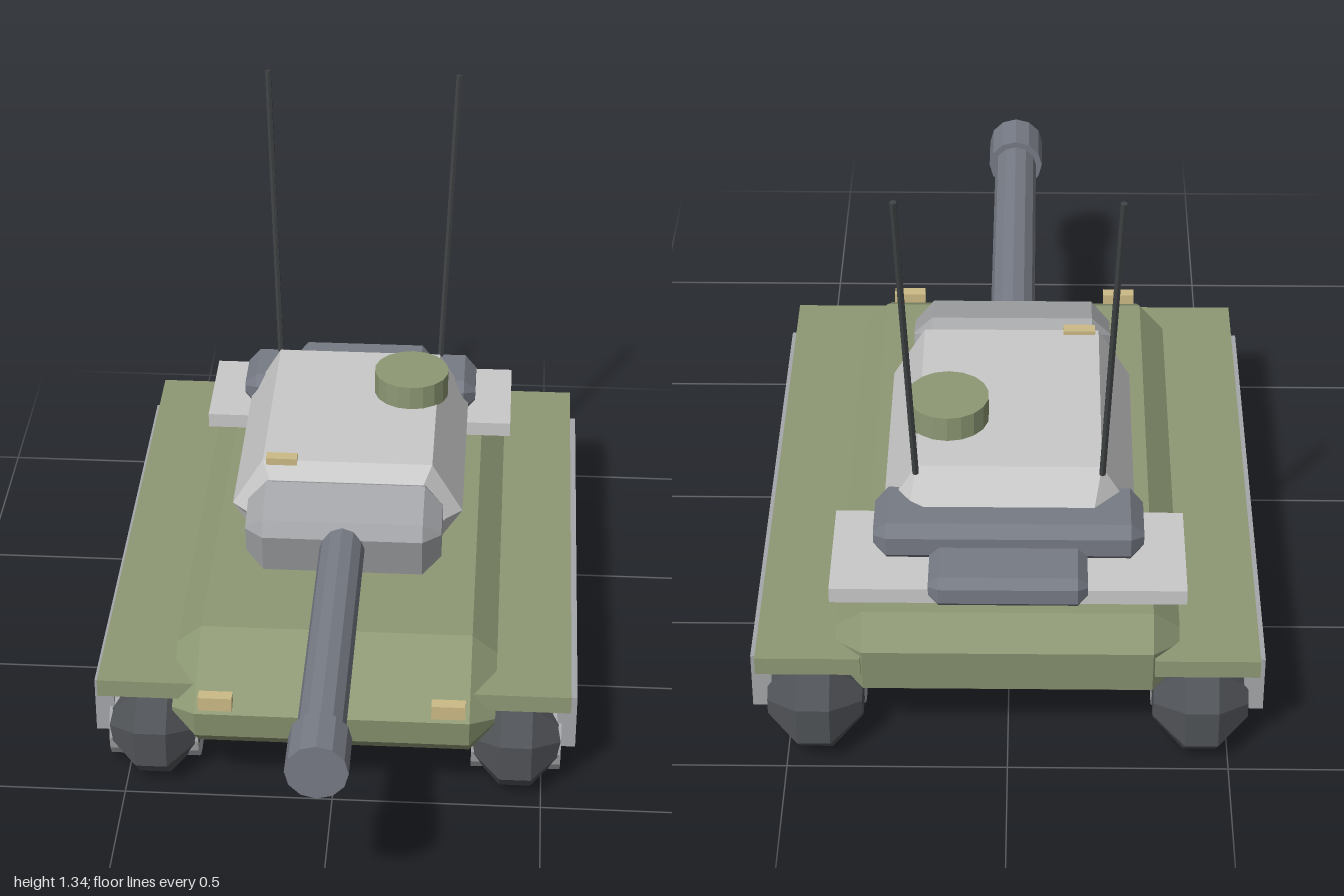
import * as THREE from 'three';

const mat = (name, color) => {
  const m = new THREE.MeshStandardMaterial({ color });
  m.name = name;
  return m;
};

// Faceted normals for low-poly shapes
function faceted(geo) {
  const g = geo.index ? geo.toNonIndexed() : geo;
  g.computeVertexNormals();
  return g;
}

// Side profile of [z, y] points, extruded across x with bevelled ends
function bevelled(profile, width, bevel) {
  const shape = new THREE.Shape(profile.map(([z, y]) => new THREE.Vector2(z, y)));
  const depth = width - 2 * bevel;
  const g = new THREE.ExtrudeGeometry(shape, {
    depth, bevelEnabled: true, bevelSegments: 1,
    bevelSize: bevel, bevelThickness: bevel, bevelOffset: -bevel,
  });
  g.translate(0, 0, -depth / 2);
  g.rotateY(-Math.PI / 2);
  return faceted(g);
}

// Rectangle with cut corners, centred on the origin
function cutRect(w, h, c) {
  const a = w / 2, b = h / 2;
  return [[a, b - c], [a - c, b], [c - a, b], [-a, b - c],
    [-a, c - b], [c - a, -b], [a - c, -b], [a, c - b]];
}

// Solid joined from matching cross-sections, with closed ends
function loft(rings) {
  const n = rings[0].length, index = [];
  for (let r = 0; r < rings.length - 1; r++) {
    for (let i = 0; i < n; i++) {
      const j = (i + 1) % n, a = r * n, b = a + n;
      index.push(a + i, a + j, b + j, a + i, b + j, b + i);
    }
  }
  const last = (rings.length - 1) * n;
  for (let i = 1; i < n - 1; i++) {
    index.push(0, i + 1, i, last, last + i, last + i + 1);
  }
  const g = new THREE.BufferGeometry();
  g.setAttribute('position', new THREE.Float32BufferAttribute(rings.flat(2), 3));
  g.setIndex(index);
  return faceted(g);
}

export function createModel() {
  const green = mat('olive green', 0x8e9975);
  const light = mat('light grey', 0xc9c9c9);
  const grey = mat('mid grey', 0xa6a7aa);
  const steel = mat('blue grey steel', 0x777b85);
  const dark = mat('track charcoal', 0x505357);
  const black = mat('antenna black', 0x3f4244);
  const lamp = mat('lamp yellow', 0xcdbb86);

  const group = new THREE.Group();
  const add = (name, geo, material, x = 0, y = 0, z = 0) => {
    const m = new THREE.Mesh(geo, material);
    m.name = name;
    m.position.set(x, y, z);
    group.add(m);
    return m;
  };
  const box = (name, material, w, h, d, x, y, z) =>
    add(name, new THREE.BoxGeometry(w, h, d), material, x, y, z);

  // Hull
  add('hull', bevelled([
    [0.33, 0.375], [0.52, 0.255], [0.51, 0.185], [0.44, 0.12],
    [-0.87, 0.12], [-0.95, 0.19], [-0.965, 0.305], [-0.907, 0.375],
  ], 0.77, 0.06), green);

  // Track outline: two half octagons joined by straight runs
  const r = 0.115, outline = [];
  for (let i = 0; i < 8; i++) {
    const a = Math.PI * (i / 4 - 3 / 8), R = r / Math.cos(Math.PI / 8);
    outline.push([(i < 4 ? 0.37 : -0.885) + R * Math.cos(a), r + R * Math.sin(a)]);
  }
  const trackGeo = bevelled(outline, 0.215, 0.07);
  const wheelGeo = faceted(new THREE.CylinderGeometry(0.088, 0.088, 0.215, 16).rotateZ(Math.PI / 2));

  // Running gear, mudguards, headlights and antennas on both sides
  for (const s of [1, -1]) {
    const side = s > 0 ? 'left' : 'right';
    add(side + 'Track', trackGeo, dark, s * 0.437);
    for (let i = 0; i < 6; i++) {
      add(side + 'Wheel' + (i + 1), wheelGeo, grey, s * 0.437, 0.1, 0.335 - i * 0.22);
    }
    box(side + 'Skirt', grey, 0.045, 0.145, 1.295, s * 0.557, 0.173, -0.26);
    box(side + 'Fender', green, 0.235, 0.045, 1.42, s * 0.446, 0.268, -0.26);
    box(side + 'Headlight', lamp, 0.08, 0.036, 0.03, s * 0.275, 0.283, 0.504);

    const foot = new THREE.Vector3(s * 0.211, 0.575, -0.658);
    const tip = new THREE.Vector3(s * 0.242, 1.342, -0.74);
    const rod = add(side + 'Antenna',
      faceted(new THREE.CylinderGeometry(0.008, 0.008, foot.distanceTo(tip), 6)), black);
    rod.position.lerpVectors(foot, tip, 0.5);
    rod.quaternion.setFromUnitVectors(new THREE.Vector3(0, 1, 0), tip.clone().sub(foot).normalize());
  }

  // Turret: six-sided cross-sections from rear to front
  const section = (z, bottom, mid, top, low, high) => [
    [bottom, low, z], [mid, 0.455, z], [top, high, z],
    [-top, high, z], [-mid, 0.455, z], [-bottom, low, z],
  ];
  add('turret', loft([
    section(-0.72, 0.2, 0.235, 0.19, 0.41, 0.5),
    section(-0.645, 0.235, 0.287, 0.21, 0.375, 0.585),
    section(-0.095, 0.235, 0.287, 0.21, 0.375, 0.585),
    section(-0.055, 0.205, 0.247, 0.19, 0.41, 0.55),
  ]), light);

  // Gun mount, tipped forward
  add('mantlet', bevelled(cutRect(0.19, 0.175, 0.03), 0.48, 0.045), grey, 0, 0.468, 0.02)
    .rotation.x = 0.26;

  // Gun
  const tube = (radius, length) =>
    faceted(new THREE.CylinderGeometry(radius, radius, length, 12).rotateX(Math.PI / 2));
  add('barrel', tube(0.055, 0.84), steel, 0, 0.47, 0.47);
  add('muzzle', tube(0.071, 0.124), steel, 0, 0.47, 0.938);

  // Turret fittings
  add('hatch', faceted(new THREE.CylinderGeometry(0.095, 0.095, 0.066, 18)), green, 0.143, 0.614, -0.455);
  box('turretLamp', lamp, 0.077, 0.023, 0.03, -0.163, 0.583, -0.1);

  // Rear deck plate and stowage boxes
  box('rearPlate', light, 0.8, 0.038, 0.285, 0, 0.394, -0.732);
  add('largeStowageBox', bevelled(cutRect(0.185, 0.095, 0.025), 0.61, 0.03), steel, 0, 0.468, -0.7);
  add('smallStowageBox', bevelled(cutRect(0.16, 0.078, 0.02), 0.355, 0.022), steel, 0, 0.428, -0.838);

  return group;
}
